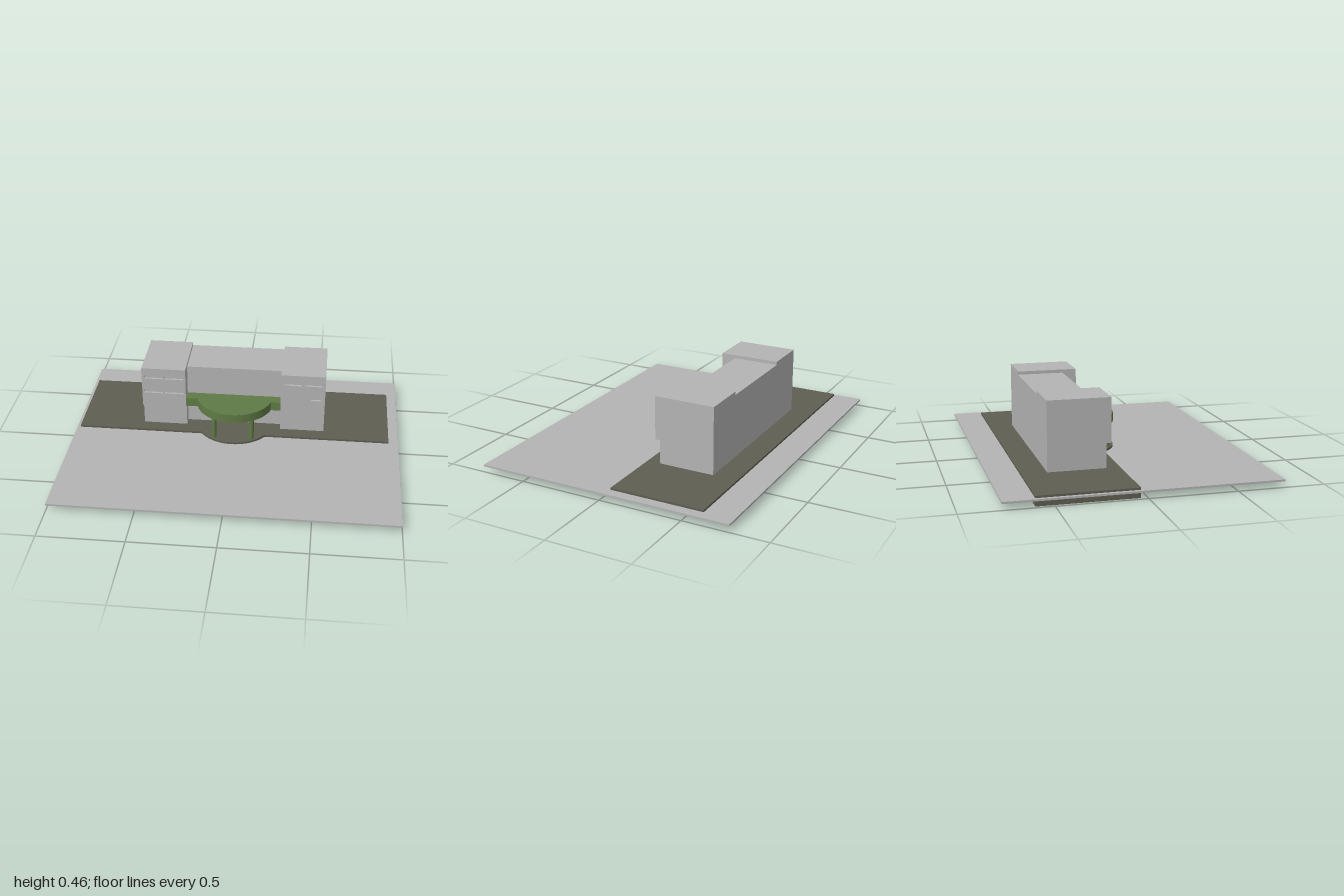
import * as THREE from 'three';

export function createModel() {
  const model = new THREE.Group();
  const wallMat = new THREE.MeshStandardMaterial({ color: 0xb4b4b4 });
  wallMat.name = 'pale grey';
  const plazaMat = new THREE.MeshStandardMaterial({ color: 0x5f5e52 });
  plazaMat.name = 'dark paving';
  const greenMat = new THREE.MeshStandardMaterial({ color: 0x5f7a45 });
  greenMat.name = 'green';

  const add = (name, geometry, material, parent = model) => {
    const mesh = new THREE.Mesh(geometry, material);
    mesh.name = name;
    parent.add(mesh);
    return mesh;
  };

  // Box given by its limits on each axis
  const box = (name, [x0, x1], [y0, y1], [z0, z1], material, parent) => {
    const mesh = add(name, new THREE.BoxGeometry(x1 - x0, y1 - y0, z1 - z0), material, parent);
    mesh.position.set((x0 + x1) / 2, (y0 + y1) / 2, (z0 + z1) / 2);
    return mesh;
  };

  // Rectangular slab whose front edge swells into a round bay
  const bay = { x: -0.017, z: -0.172, r: 0.236 };
  const baySlab = (name, [x0, x1], [y0, y1], [back, front], material) => {
    const a = Math.asin((front - bay.z) / bay.r);
    const shape = new THREE.Shape();
    shape.moveTo(x0, -back);
    shape.lineTo(x0, -front);
    shape.absarc(bay.x, -bay.z, bay.r, Math.PI + a, 2 * Math.PI - a, false);
    shape.lineTo(x1, -front);
    shape.lineTo(x1, -back);
    const geometry = new THREE.ExtrudeGeometry(shape, { depth: y1 - y0, bevelEnabled: false, curveSegments: 24 });
    geometry.rotateX(-Math.PI / 2);
    geometry.translate(0, y0, 0);
    return add(name, geometry, material);
  };

  // Ground and paved plaza
  box('ground', [-1, 1], [0.034, 0.045], [-0.775, 0.77], wallMat);
  baySlab('plaza', [-0.98, 0.94], [0, 0.057], [-0.6, -0.038], plazaMat);

  // Central block
  box('centralBlock', [-0.315, 0.27], [0.057, 0.44], [-0.455, -0.175], wallMat);

  // Wings: recessed ground floor, overhanging upper floors with slot windows
  const wing = (name, [x0, x1], slots) => {
    const group = new THREE.Group();
    group.name = name;
    model.add(group);
    box('groundFloor', [x0, x1], [0.057, 0.2], [-0.455, -0.12], wallMat, group);
    box('upperFloors', [x0, x1], [0.2, 0.46], [-0.455, -0.105], wallMat, group);
    const face = new THREE.Shape();
    face.moveTo(x0, 0.2);
    face.lineTo(x1, 0.2);
    face.lineTo(x1, 0.46);
    face.lineTo(x0, 0.46);
    for (const [a, b, y] of slots) {
      const hole = new THREE.Path();
      hole.moveTo(a, y - 0.01);
      hole.lineTo(a, y + 0.01);
      hole.lineTo(b, y + 0.01);
      hole.lineTo(b, y - 0.01);
      face.holes.push(hole);
    }
    const front = new THREE.ExtrudeGeometry(face, { depth: 0.015, bevelEnabled: false });
    front.translate(0, 0, -0.105);
    add('slottedFront', front, wallMat, group);
    return group;
  };
  wing('rightWing', [-0.585, -0.315], [
    [-0.57, -0.455, 0.4], [-0.445, -0.33, 0.4],
    [-0.57, -0.455, 0.3], [-0.445, -0.33, 0.3],
  ]);
  const leftWing = wing('leftWing', [0.27, 0.54], [
    [0.29, 0.395, 0.4], [0.415, 0.52, 0.4], [0.455, 0.52, 0.3],
  ]);
  box('hangingPanel', [0.285, 0.455], [0.15, 0.2], [-0.093, -0.09], wallMat, leftWing);

  // Entrance canopy on two columns
  baySlab('canopy', [-0.315, 0.27], [0.2, 0.255], [-0.175, -0.105], greenMat);
  for (const x of [-0.13, 0.1]) {
    const column = add('column', new THREE.CylinderGeometry(0.015, 0.015, 0.143, 20), greenMat);
    column.position.set(x, 0.1285, 0.007);
  }

  // Framed entrance doors
  for (const x of [-0.083, 0.055]) {
    const door = new THREE.Group();
    door.name = 'door';
    model.add(door);
    for (const s of [-1, 1]) {
      box('doorPost', [x + s * 0.022 - 0.004, x + s * 0.022 + 0.004], [0.057, 0.19], [-0.175, -0.168], wallMat, door);
    }
    for (const y of [0.11, 0.182]) {
      box('doorRail', [x - 0.018, x + 0.018], [y, y + 0.008], [-0.175, -0.168], wallMat, door);
    }
  }
  return model;
}
